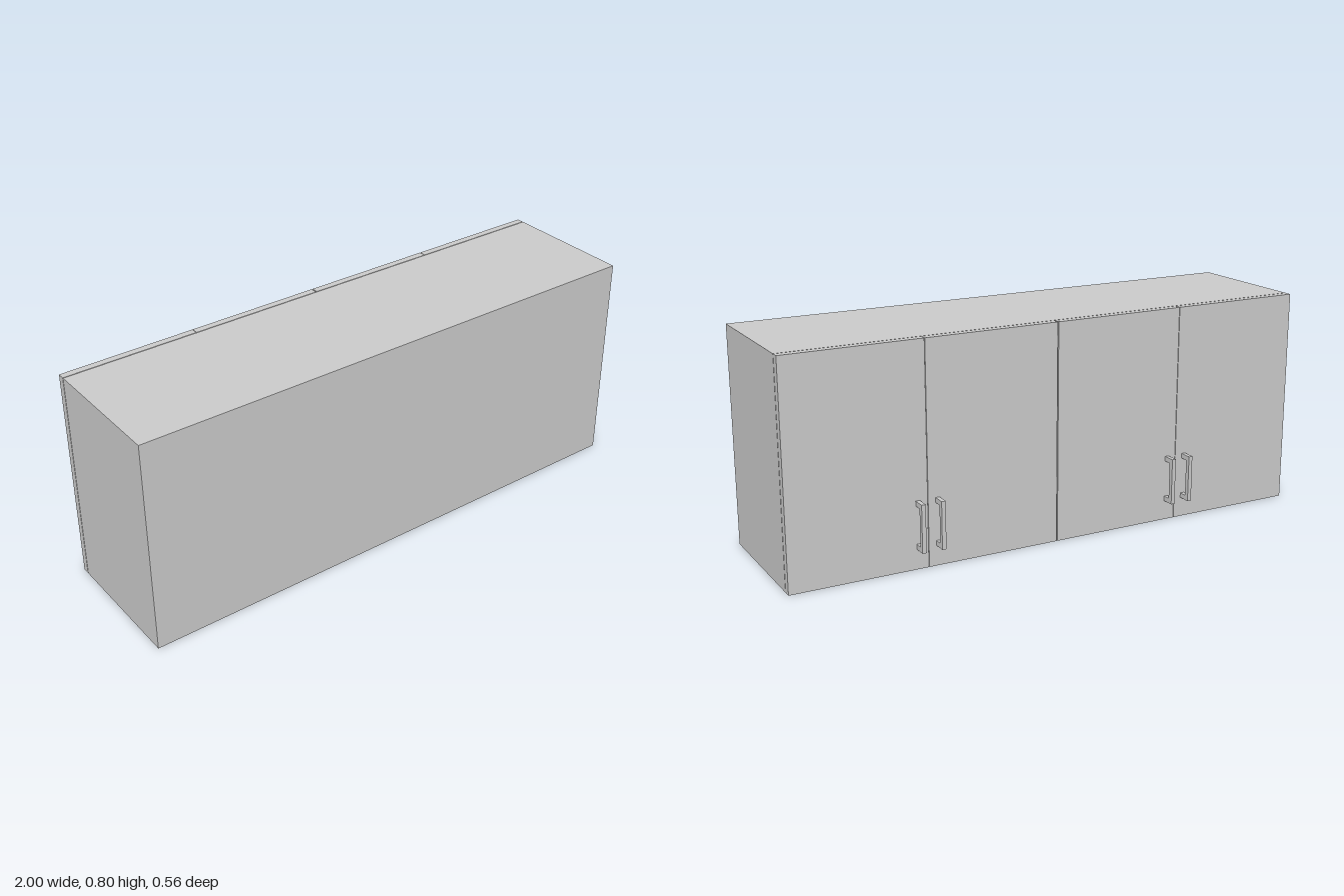
import * as THREE from 'three';

const WIDTH = 2, HEIGHT = 0.797;
const FRONT_Z = 0.281, CARCASS_Z = -0.205; // carcass depth range
const DOOR_IN = -0.208, DOOR_OUT = -0.234; // door depth range

export function createModel() {
  const model = new THREE.Group();
  model.name = 'wallCabinet';
  const material = new THREE.MeshStandardMaterial({ color: 0xcccccc });

  const add = (name, geometry, x, y, z) => {
    const mesh = new THREE.Mesh(geometry, material);
    mesh.name = name;
    mesh.position.set(x, y, z);
    model.add(mesh);
  };

  // Cabinet body
  add('carcass', new THREE.BoxGeometry(WIDTH, HEIGHT, FRONT_Z - CARCASS_Z),
    0, HEIGHT / 2, (FRONT_Z + CARCASS_Z) / 2);

  // Bracket handle: C-shaped profile, swung round so it projects towards -z
  const bracket = new THREE.Shape([
    [0, 0.073], [0.047, 0.073], [0.047, 0.245], [0, 0.245],
    [0, 0.227], [0.03, 0.227], [0.03, 0.091], [0, 0.091],
  ].map(([out, y]) => new THREE.Vector2(out, y)));
  const handleWidth = 0.015;
  const handleGeometry = new THREE.ExtrudeGeometry(bracket, { depth: handleWidth, bevelEnabled: false });
  handleGeometry.translate(0, 0, -handleWidth / 2).rotateY(Math.PI / 2);

  // Two mirrored pairs of doors, with narrow gaps between them
  for (const side of [-1, 1]) {
    for (const [inner, outer, handleX, label] of [
      [0.002, 0.499, 0.464, 'Inner'],
      [0.501, 1, 0.537, 'Outer'],
    ]) {
      const name = (side > 0 ? 'left' : 'right') + label;
      add(name + 'Door', new THREE.BoxGeometry(outer - inner, HEIGHT, DOOR_IN - DOOR_OUT),
        side * (inner + outer) / 2, HEIGHT / 2, (DOOR_IN + DOOR_OUT) / 2);
      add(name + 'Handle', handleGeometry, side * handleX, 0, DOOR_OUT);
    }
  }
  return model;
}
